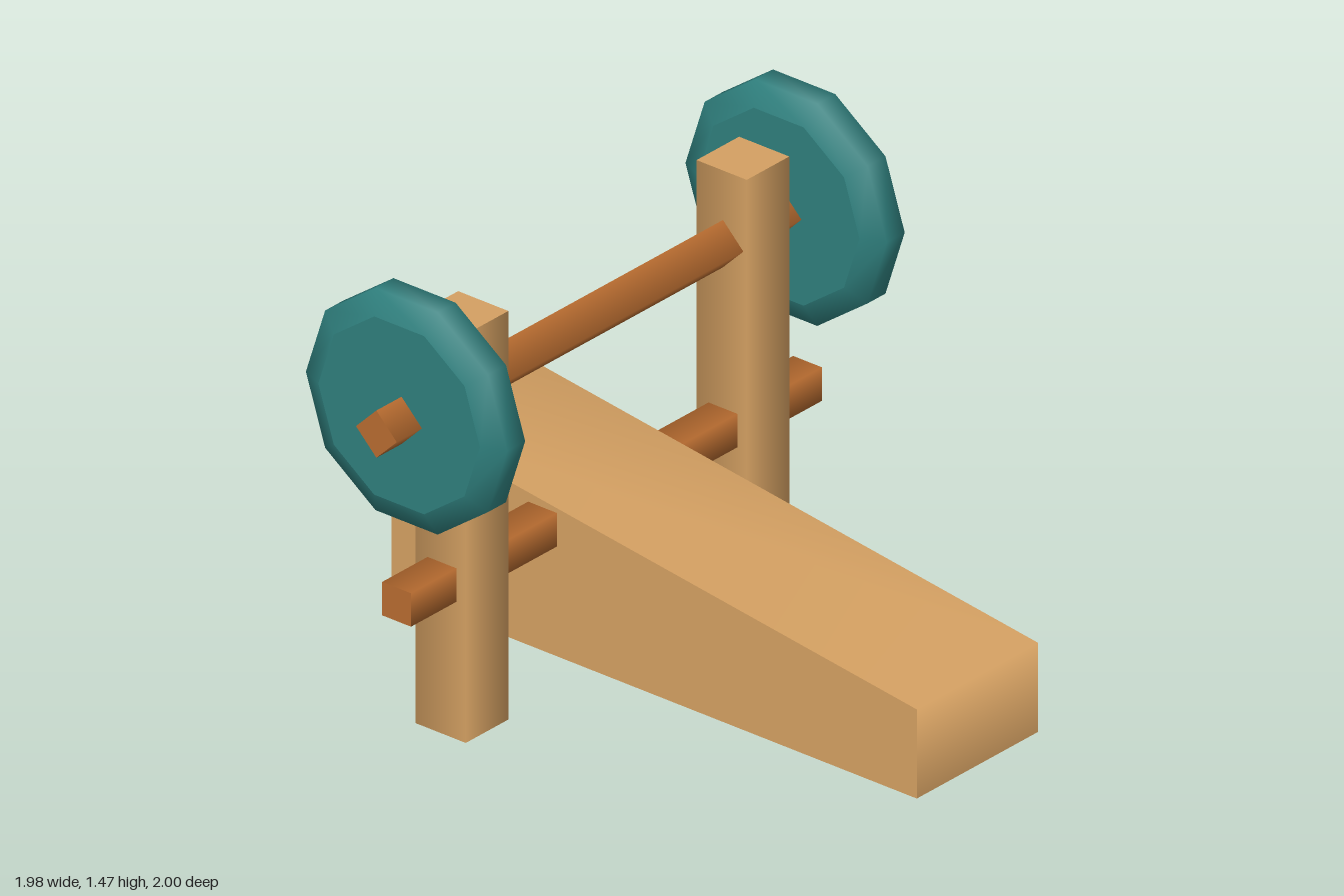
import * as THREE from 'three';

export function createModel() {
  const model = new THREE.Group();
  model.name = 'rampWithWheels';

  const paleWood = new THREE.MeshStandardMaterial({ color: 0xd4a062, side: THREE.DoubleSide });
  paleWood.name = 'paleWood';
  const darkWood = new THREE.MeshStandardMaterial({ color: 0xb86c30 });
  darkWood.name = 'darkWood';
  const teal = new THREE.MeshStandardMaterial({ color: 0x2f7f7d });
  teal.name = 'teal';

  function add(parent, name, geometry, material, x = 0, y = 0, z = 0) {
    const mesh = new THREE.Mesh(geometry, material);
    mesh.name = name;
    mesh.position.set(x, y, z);
    parent.add(mesh);
    return mesh;
  }

  // Four-sided bar along y with softly shaded sides
  const bar = (radius, length, turn) =>
    new THREE.CylinderGeometry(radius, radius, length, 4, 1, false, turn);

  // Wedge body: a hollow shell, open underneath
  const profile = [[-0.993, 0.09], [-0.993, 0.66], [0.99, 0.38], [0.99, 0.09]];
  const zFront = 0.26, zBack = -0.28;
  const body = new THREE.Group();
  body.name = 'wedgeBody';
  model.add(body);

  const positions = [], indices = [];
  profile.forEach(([x, y], i) => {
    positions.push(x, y, zFront, x, y, zBack);
    if (i < profile.length - 1) {
      const a = 2 * i;
      indices.push(a, a + 2, a + 3, a, a + 3, a + 1);
    }
  });
  const shell = new THREE.BufferGeometry();
  shell.setAttribute('position', new THREE.Float32BufferAttribute(positions, 3));
  shell.setIndex(indices);
  shell.computeVertexNormals();
  add(body, 'topAndEnds', shell, paleWood);

  const outline = new THREE.Shape(profile.map(([x, y]) => new THREE.Vector2(x, y)));
  add(body, 'frontSide', new THREE.ShapeGeometry(outline), paleWood, 0, 0, zFront);
  const backSide = new THREE.Shape(profile.map(([x, y]) => new THREE.Vector2(-x, y)));
  add(body, 'backSide', new THREE.ShapeGeometry(backSide), paleWood, 0, 0, zBack).rotation.y = Math.PI;

  // Upright posts
  for (const [name, z] of [['frontPost', 0.613], ['backPost', -0.638]]) {
    add(model, name, bar(0.134, 1.33, Math.PI / 4), paleWood, -0.428, 0.665, z);
  }

  // Square lower rod and diamond-set upper axle
  add(model, 'lowerRod', bar(0.077, 1.83, Math.PI / 4).rotateX(Math.PI / 2), darkWood, -0.423, 0.502, -0.005);
  add(model, 'upperAxle', bar(0.077, 2, 0).rotateX(Math.PI / 2), darkWood, -0.423, 1.092, 0);

  // Ten-sided wheels with bevelled rims and flat faces
  const sides = 10, rimRadius = 0.38, faceRadius = 0.305, halfWidth = 0.073;
  const rimPoints = [
    [faceRadius, -halfWidth], [rimRadius, -0.04], [rimRadius, 0.04], [faceRadius, halfWidth],
  ].map(([r, y]) => new THREE.Vector2(r, y));
  for (const [name, z] of [['frontWheel', 0.815], ['backWheel', -0.875]]) {
    const wheel = new THREE.Group();
    wheel.name = name;
    wheel.position.set(-0.432, 1.105, z);
    model.add(wheel);
    add(wheel, 'rim', new THREE.LatheGeometry(rimPoints, sides, Math.PI / 2).rotateX(Math.PI / 2), teal);
    add(wheel, 'outerFace', new THREE.CircleGeometry(faceRadius, sides), teal, 0, 0, halfWidth);
    add(wheel, 'innerFace', new THREE.CircleGeometry(faceRadius, sides), teal, 0, 0, -halfWidth).rotation.y = Math.PI;
  }

  return model;
}
